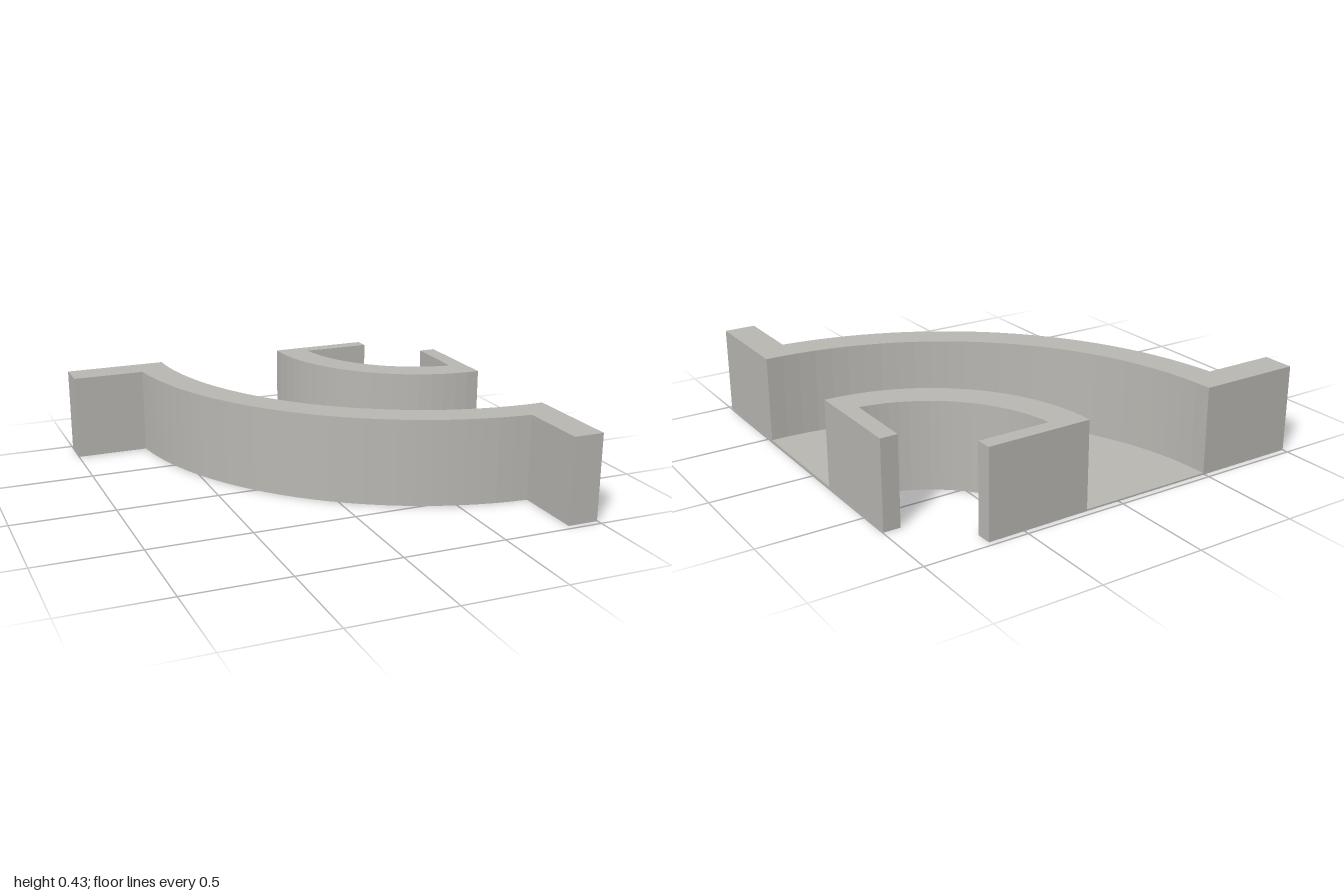
import * as THREE from 'three';

const BACK = -0.97, RIGHT = 0.997, HEIGHT = 0.425, FLOOR = 0.008;

// Points [x, z] along a circle, from angle a to b (0 points to -x, PI/2 to +z)
function arc([cx, cz], r, a, b, n) {
  return Array.from({ length: n + 1 }, (_, i) => {
    const t = a + (b - a) * i / n;
    return [cx - r * Math.cos(t), cz + r * Math.sin(t)];
  });
}

// Arc running from the back edge to the right edge of the base
function edgeArc(c, r, n) {
  const a = Math.asin((BACK - c[1]) / r);
  const b = Math.PI / 2 + Math.asin((RIGHT - c[0]) / r);
  return arc(c, r, a, b, n);
}

// Arc between two given points on the circle
function arcBetween(c, r, p, q, n) {
  const angle = ([x, z]) => Math.atan2(z - c[1], c[0] - x);
  return arc(c, r, angle(p), angle(q), n);
}

// Upright prism from a plan outline
function prism(name, outline, height, material) {
  const shape = new THREE.Shape(outline.map(([x, z]) => new THREE.Vector2(x, -z)));
  const geometry = new THREE.ExtrudeGeometry(shape, { depth: height, bevelEnabled: false });
  geometry.rotateX(-Math.PI / 2);
  const mesh = new THREE.Mesh(geometry, material);
  mesh.name = name;
  return mesh;
}

export function createModel() {
  const group = new THREE.Group();
  group.name = 'curvedChannel';
  const grey = new THREE.MeshStandardMaterial({ color: 0xbab8b3 });
  grey.name = 'warm grey';

  const outerCentre = [0.96, -0.99], innerCentre = [0.98, -0.965];
  const channelOuter = edgeArc(outerCentre, 1.453, 28);
  const channelInner = edgeArc(innerCentre, 0.807, 20);

  // Large curved wall with an outward flange at each end
  group.add(prism('outerWall', [
    [-1, BACK], [-1, -0.815],
    ...arcBetween(outerCentre, 1.61, [-0.64, -0.815], [0.845, 0.615], 28),
    [0.845, 0.97], [RIGHT, 0.97],
    ...channelOuter.slice().reverse(),
  ], HEIGHT, grey));

  // Small curved wall with flanges turned in towards the corner
  group.add(prism('innerWall', [
    ...channelInner,
    [RIGHT, -0.663], [0.915, -0.663],
    ...arcBetween(innerCentre, 0.652, [0.912, -0.315], [0.335, -0.898], 20),
    [0.68, -0.9], [0.677, -0.974],
  ], HEIGHT, grey));

  // Thin floor between the walls
  group.add(prism('floor', [...channelOuter, ...channelInner.slice().reverse()], FLOOR, grey));

  return group;
}
